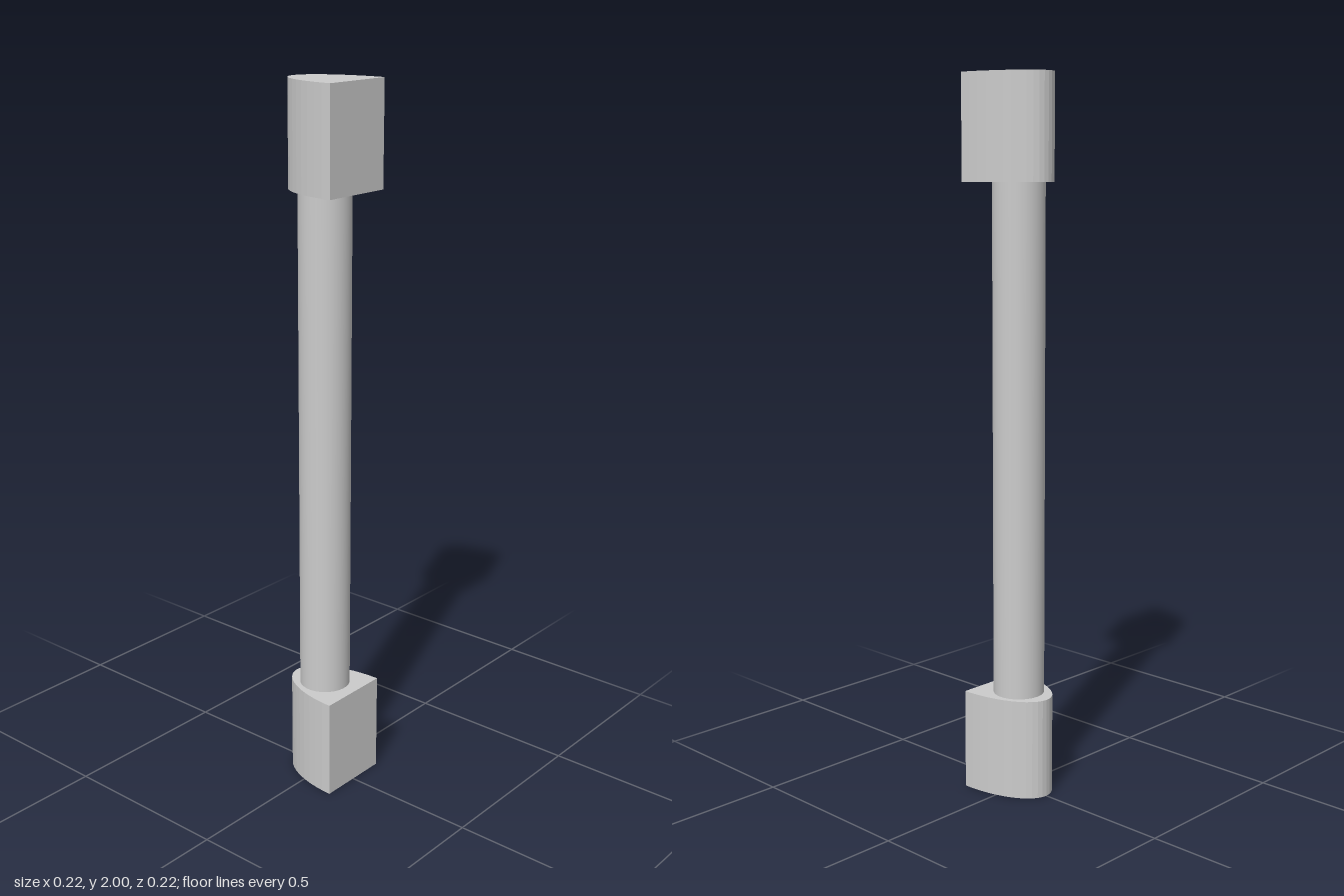
import * as THREE from 'three';

const HALF = 0.108;        // half width and half depth of the end blocks
const BLOCK_HEIGHT = 0.286;
const HEIGHT = 2;

export function createModel() {
  const model = new THREE.Group();
  const material = new THREE.MeshStandardMaterial({ color: 0xcccccc });

  // End blocks: half-ellipse footprint, flat at the front and rounded at the back
  const footprint = new THREE.Shape();
  const steps = 24;
  for (let i = 0; i <= steps; i++) {
    const a = (Math.PI * i) / steps;
    const x = HALF * Math.cos(a);
    const y = -HALF + 2 * HALF * Math.sin(a);
    if (i === 0) footprint.moveTo(x, y);
    else footprint.lineTo(x, y);
  }
  footprint.closePath();
  const blockGeometry = new THREE.ExtrudeGeometry(footprint, { depth: BLOCK_HEIGHT, bevelEnabled: false });
  blockGeometry.rotateX(-Math.PI / 2);

  for (const [name, y] of [['bottomBlock', 0], ['topBlock', HEIGHT - BLOCK_HEIGHT]]) {
    const block = new THREE.Mesh(blockGeometry, material);
    block.name = name;
    block.position.y = y;
    model.add(block);
  }

  // Round bar between the blocks
  const bar = new THREE.Mesh(
    new THREE.CylinderGeometry(0.072, 0.072, HEIGHT - 2 * BLOCK_HEIGHT, 48),
    material
  );
  bar.name = 'bar';
  bar.position.y = HEIGHT / 2;
  model.add(bar);

  return model;
}
